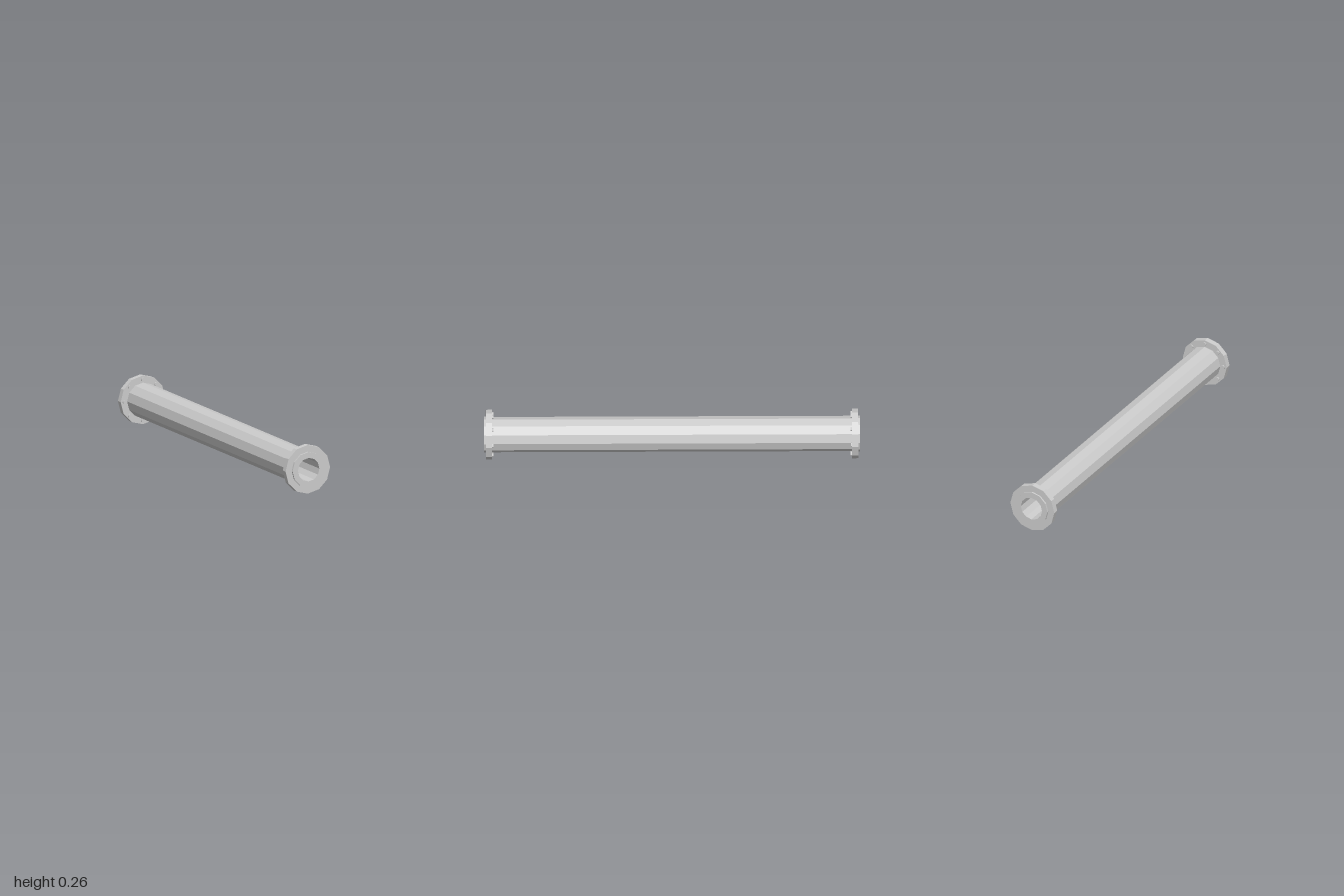
import * as THREE from 'three';

const SIDES = 12;
const R_BORE = 0.064, R_PIPE = 0.094, R_FACE = 0.096, R_FLANGE = 0.1325;
const Z_BACK = 0.957, Z_RIM = 0.99, Z_END = 1;

const material = new THREE.MeshStandardMaterial({ color: 0xcccccc, flatShading: true });

// Faceted surface of revolution along z from [radius, z] points
function lathe(name, profile) {
  const geometry = new THREE.LatheGeometry(profile.map(([r, z]) => new THREE.Vector2(r, z)), SIDES);
  geometry.rotateX(Math.PI / 2);
  const mesh = new THREE.Mesh(geometry, material);
  mesh.name = name;
  return mesh;
}

function createEnd(name) {
  const end = new THREE.Group();
  end.name = name;

  // Flange disc with a raised sealing face
  end.add(lathe('flange', [
    [R_PIPE, Z_BACK], [R_FLANGE, Z_BACK], [R_FLANGE, Z_RIM],
    [R_FACE, Z_RIM], [R_FACE, Z_END], [R_BORE, Z_END],
  ]));

  // Eight bolts on the back of the flange
  const boltGeometry = new THREE.CylinderGeometry(0.011, 0.011, 0.008, 8);
  boltGeometry.rotateX(Math.PI / 2);
  for (let i = 0; i < 8; i++) {
    const angle = (i * Math.PI) / 4;
    const bolt = new THREE.Mesh(boltGeometry, material);
    bolt.name = 'bolt';
    bolt.position.set(0.111 * Math.cos(angle), 0.111 * Math.sin(angle), Z_BACK - 0.003);
    end.add(bolt);
  }
  return end;
}

export function createModel() {
  const model = new THREE.Group();
  model.name = 'flangedPipe';

  // Outer wall, and the bore running through both ends
  model.add(lathe('pipe', [[R_PIPE, -Z_BACK], [R_PIPE, Z_BACK]]));
  model.add(lathe('bore', [[R_BORE, Z_END], [R_BORE, -Z_END]]));

  // Matching flanged ends
  const back = createEnd('backEnd');
  back.rotation.y = Math.PI;
  model.add(createEnd('frontEnd'), back);

  for (const part of model.children) part.position.y = R_FLANGE;
  return model;
}
